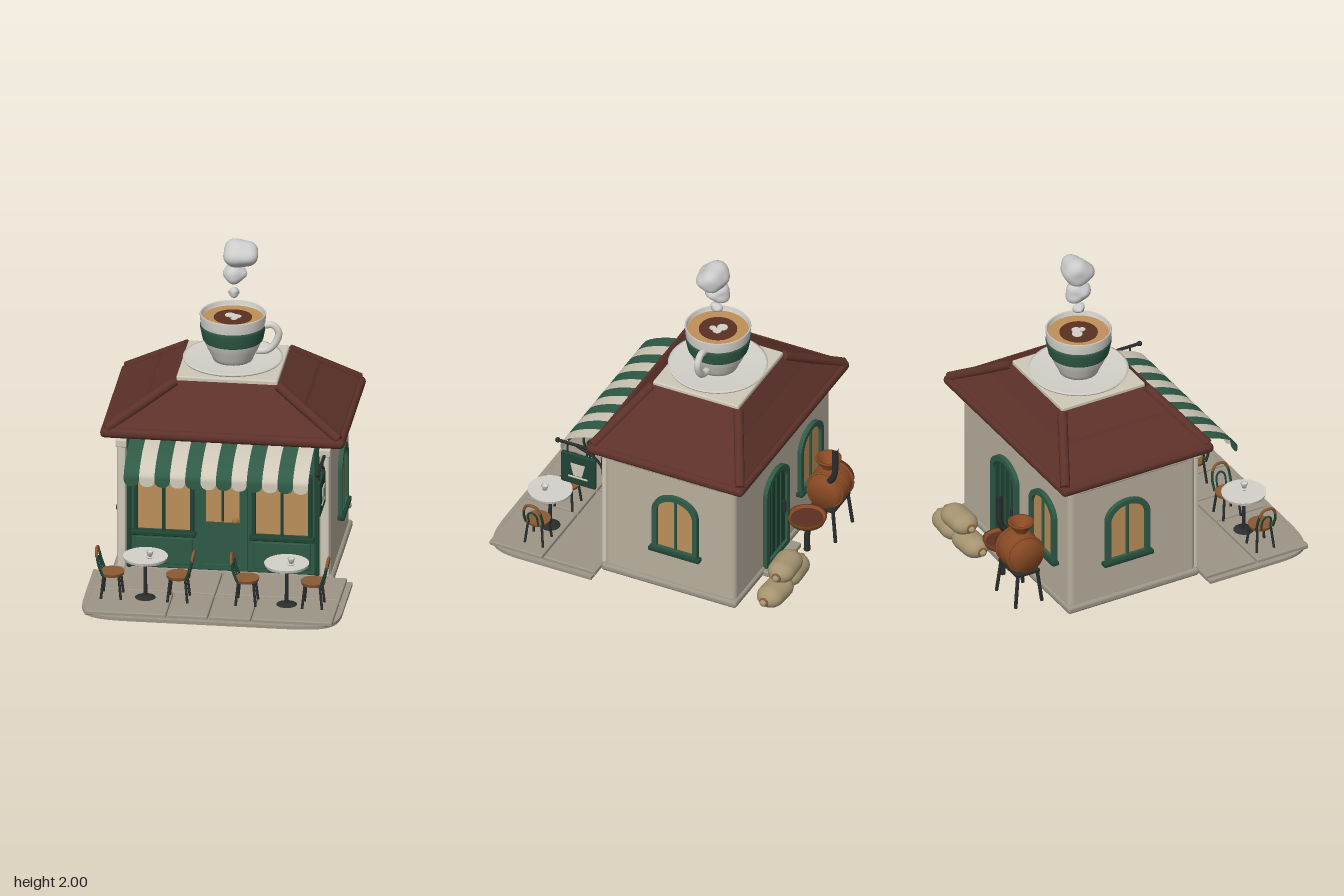
import * as THREE from 'three';
import { RoundedBoxGeometry } from 'three/addons/geometries/RoundedBoxGeometry.js';
import { mergeVertices } from 'three/addons/utils/BufferGeometryUtils.js';

const V = (x, y, z) => new THREE.Vector3(x, y, z);
const paint = (color, side = THREE.FrontSide) => new THREE.MeshStandardMaterial({ color, side });
const M = {
  green: paint(0x2f5a46), dark: paint(0x1f4434), wall: paint(0xb8ae9c), cream: paint(0xcfc8b8),
  white: paint(0xd4d1ca), roof: paint(0x5c3129), glass: paint(0xba8f5a), wood: paint(0x8a5a35),
  copper: paint(0x8a4a24), sack: paint(0xa59470), stone: paint(0x9c9587), black: paint(0x2b2d2c),
  coffee: paint(0x5a3020), crema: paint(0xc09058), grey: paint(0xcccccc), brass: paint(0x9a7440),
  awnGreen: paint(0x2f5a46, THREE.DoubleSide), awnCream: paint(0xcfc8b8, THREE.DoubleSide),
};

function add(parent, name, geo, mat, x = 0, y = 0, z = 0) {
  const m = new THREE.Mesh(geo, mat);
  m.name = name;
  m.position.set(x, y, z);
  parent.add(m);
  return m;
}
function sub(parent, name, x = 0, y = 0, z = 0, ry = 0) {
  const g = new THREE.Group();
  g.name = name;
  g.position.set(x, y, z);
  g.rotation.y = ry;
  parent.add(g);
  return g;
}
const box = (p, n, m, w, h, d, x, y, z, r = 0.008) => add(p, n, new RoundedBoxGeometry(w, h, d, 2, r), m, x, y, z);
const cyl = (p, n, m, rt, rb, h, x, y, z, s = 24) => add(p, n, new THREE.CylinderGeometry(rt, rb, h, s), m, x, y, z);
const lathe = (p, n, m, pts, x = 0, y = 0, z = 0, s = 40) =>
  add(p, n, new THREE.LatheGeometry(pts.map(a => new THREE.Vector2(...a)), s), m, x, y, z);
const tube = (p, n, m, pts, r, seg = 20) =>
  add(p, n, new THREE.TubeGeometry(new THREE.CatmullRomCurve3(pts), seg, r, 8), m);
function rod(p, n, m, a, b, r, s = 8) {
  const o = cyl(p, n, m, r, r, a.distanceTo(b), 0, 0, 0, s);
  o.position.copy(a).add(b).multiplyScalar(0.5);
  o.quaternion.setFromUnitVectors(V(0, 1, 0), b.clone().sub(a).normalize());
  return o;
}

// Arched opening standing on y = y0, with an elliptical head
function arch(w, h, rise, y0 = 0, T = THREE.Shape) {
  const s = new T();
  s.moveTo(-w / 2, y0);
  s.lineTo(w / 2, y0);
  s.lineTo(w / 2, h - rise);
  s.absellipse(0, h - rise, w / 2, rise, 0, Math.PI, false);
  s.lineTo(-w / 2, y0);
  return s;
}
const slab = (s, d) => new THREE.ExtrudeGeometry(s, { depth: d, bevelEnabled: false, curveSegments: 16 });

function archFrame(p, w, h, rise, t, d) {
  const s = arch(w, h, rise);
  s.holes.push(arch(w - 2 * t, h - t, rise - t * 0.6, t, THREE.Path));
  add(p, 'frame', slab(s, d), M.green);
}
function archWindow(p, name, x, y, z, ry) {
  const g = sub(p, name, x, y, z, ry);
  archFrame(g, 0.3, 0.42, 0.12, 0.032, 0.03);
  add(g, 'pane', slab(arch(0.26, 0.4, 0.1), 0.01), M.glass);
  box(g, 'mullion', M.green, 0.016, 0.38, 0.02, 0, 0.2, 0.012, 0.004);
  box(g, 'sill', M.dark, 0.34, 0.028, 0.05, 0, 0.005, 0.02);
}

// Rectangular rings [halfX, halfZ, y] joined by flat faces
function hippedLoft(rings) {
  const pos = [], c = rings.map(([x, z, y]) => [[x, y, z], [x, y, -z], [-x, y, -z], [-x, y, z]]);
  for (let i = 0; i + 1 < c.length; i++) for (let k = 0; k < 4; k++) {
    const a = c[i][k], b = c[i][(k + 1) % 4], e = c[i + 1][(k + 1) % 4], f = c[i + 1][k];
    pos.push(...a, ...b, ...e, ...a, ...e, ...f);
  }
  const g = new THREE.BufferGeometry();
  g.setAttribute('position', new THREE.Float32BufferAttribute(pos, 3));
  g.computeVertexNormals();
  return g;
}

// Lumpy ball for steam
function puff(r, seed) {
  let g = new THREE.IcosahedronGeometry(r, 5);
  g.deleteAttribute('uv');
  g.deleteAttribute('normal');
  g = mergeVertices(g, 1e-5);
  const p = g.attributes.position, v = V(0, 0, 0);
  for (let i = 0; i < p.count; i++) {
    v.fromBufferAttribute(p, i);
    const n = v.clone().normalize();
    v.multiplyScalar(1 + 0.12 * Math.sin(3 * n.x + seed) + 0.1 * Math.sin(4 * n.y + 2 * seed) * Math.cos(3 * n.z + seed));
    p.setXYZ(i, v.x, v.y, v.z);
  }
  g.computeVertexNormals();
  return g;
}

// Awning stripe: a plane bent along a profile, with a scalloped hem
function awningStripe(w) {
  const curve = new THREE.CatmullRomCurve3([V(0, 0.89, 0.22), V(0, 0.865, 0.36), V(0, 0.815, 0.48), V(0, 0.77, 0.53), V(0, 0.735, 0.535)]);
  const g = new THREE.PlaneGeometry(w, 1, 10, 12), p = g.attributes.position;
  for (let i = 0; i < p.count; i++) {
    const t = 0.5 - p.getY(i), q = curve.getPoint(t), u = p.getX(i) / (w / 2);
    const dip = t > 0.99 ? 0.036 * Math.sqrt(Math.max(0, 1 - u * u)) : 0;
    p.setXYZ(i, p.getX(i), q.y - dip, q.z);
  }
  g.computeVertexNormals();
  return g;
}

// Chair with its back toward local +x
function chair(p, x, z, ry) {
  const g = sub(p, 'chair', x, 0.04, z, ry);
  cyl(g, 'seat', M.wood, 0.076, 0.07, 0.02, 0, 0.152, 0);
  for (const a of [1, -1]) for (const b of [1, -1])
    rod(g, 'chairLeg', M.black, V(a * 0.045, 0.15, b * 0.045), V(a * 0.06, 0, b * 0.06), 0.008);
  for (const s of [1, -1])
    tube(g, 'backPost', M.dark, [V(0.05, 0.15, s * 0.058), V(0.075, 0.22, s * 0.06), V(0.085, 0.27, s * 0.052)], 0.008);
  tube(g, 'backHoop', M.wood, [V(0.085, 0.26, 0.054), V(0.09, 0.298, 0.034), V(0.092, 0.308, 0), V(0.09, 0.298, -0.034), V(0.085, 0.26, -0.054)], 0.009);
  tube(g, 'backInner', M.dark, [V(0.062, 0.15, 0.03), V(0.08, 0.23, 0.026), V(0.085, 0.25, 0), V(0.08, 0.23, -0.026), V(0.062, 0.15, -0.03)], 0.006);
}

function table(p, x, z) {
  const g = sub(p, 'table', x, 0.04, z);
  cyl(g, 'tableTop', M.white, 0.135, 0.13, 0.018, 0, 0.26, 0, 32);
  cyl(g, 'tableColumn', M.black, 0.01, 0.012, 0.25, 0, 0.13, 0, 12);
  cyl(g, 'tableFoot', M.black, 0.03, 0.065, 0.014, 0, 0.007, 0);
  cyl(g, 'smallSaucer', M.white, 0.033, 0.025, 0.006, 0.03, 0.273, 0.02);
  lathe(g, 'smallCup', M.white, [[0, 0], [0.013, 0], [0.022, 0.03], [0.018, 0.03], [0.016, 0.022], [0, 0.022]], 0.03, 0.276, 0.02, 20);
}

export function createModel() {
  const root = new THREE.Group();
  root.name = 'cafe';
  const CZ = -0.235;

  // Patio
  const patio = sub(root, 'patio'), ps = new THREE.Shape();
  ps.moveTo(-0.78, -0.22);
  ps.lineTo(0.78, -0.22);
  ps.lineTo(0.78, -0.72);
  ps.bezierCurveTo(0.77, -0.9, 0.72, -0.95, 0.45, -0.95);
  ps.lineTo(-0.45, -0.95);
  ps.bezierCurveTo(-0.72, -0.95, -0.77, -0.9, -0.78, -0.72);
  add(patio, 'patioBase', slab(ps, 0.02), M.stone).rotation.x = -Math.PI / 2;
  for (const [z0, z1, xs] of [[0.21, 0.555, [-0.75, 0, 0.75]], [0.565, 0.915, [-0.75, -0.25, 0, 0.26, 0.75]]])
    for (let i = 0; i + 1 < xs.length; i++)
      box(patio, 'paver', M.stone, xs[i + 1] - xs[i] - 0.01, 0.03, z1 - z0, (xs[i] + xs[i + 1]) / 2, 0.026, (z0 + z1) / 2);

  // Building shell
  box(root, 'foundation', M.stone, 1.33, 0.05, 0.9, 0, 0.025, CZ, 0.02);
  box(root, 'walls', M.wall, 1.29, 0.88, 0.87, 0, 0.46, CZ, 0.035);
  for (const s of [1, -1]) {
    box(root, 'sideCornice', M.wall, 0.03, 0.06, 0.74, s * 0.645, 0.86, CZ, 0.012);
    box(root, 'cornerPilaster', M.cream, 0.05, 0.82, 0.03, s * 0.612, 0.45, 0.205);
    box(root, 'pilasterCapital', M.cream, 0.07, 0.05, 0.05, s * 0.612, 0.845, 0.21);
    archWindow(root, 'sideWindow', s * 0.643, 0.28, -0.28, s * Math.PI / 2);
  }

  // Storefront
  const shop = sub(root, 'storefront');
  box(shop, 'storefrontPanel', M.green, 1.15, 0.84, 0.04, 0, 0.47, 0.2);
  for (const s of [1, -1]) {
    const w = sub(shop, 'shopWindow', s * 0.355, 0, 0.22);
    box(w, 'pane', M.glass, 0.32, 0.37, 0.008, 0, 0.49, 0.002, 0.002);
    for (const x of [-0.17, 0.17, 0]) box(w, 'mullion', M.dark, x ? 0.026 : 0.018, 0.4, 0.026, x, 0.49, 0.008);
    box(w, 'windowHead', M.dark, 0.37, 0.026, 0.026, 0, 0.685, 0.008);
    box(w, 'windowSill', M.dark, 0.39, 0.028, 0.06, 0, 0.285, 0.015);
    box(w, 'lowerPanel', M.green, 0.34, 0.17, 0.014, 0, 0.165, 0.003, 0.005);
    box(shop, 'storefrontPost', M.dark, 0.03, 0.84, 0.03, s * 0.565, 0.47, 0.22);
  }
  const door = sub(shop, 'frontDoor', 0, 0.07, 0.22);
  archFrame(door, 0.3, 0.66, 0.12, 0.026, 0.02);
  add(door, 'doorLeaf', slab(arch(0.27, 0.645, 0.11), 0.008), M.green);
  add(door, 'doorPane', slab(arch(0.2, 0.615, 0.08, 0.3), 0.012), M.glass);
  box(door, 'doorMullion', M.dark, 0.014, 0.33, 0.018, 0, 0.47, 0.01, 0.004);
  add(door, 'doorKnob', new THREE.SphereGeometry(0.02, 16, 12), M.brass, 0.078, 0.315, 0.025);

  // Awning
  const stripe = 1.11 / 12, stripeGeo = awningStripe(stripe);
  for (let i = 0; i < 12; i++)
    add(root, 'awningStripe', stripeGeo, i % 2 ? M.awnCream : M.awnGreen, -0.557 + stripe * (i + 0.5));

  // Hanging sign
  const sign = sub(root, 'hangingSign', 0.61, 0, 0);
  rod(sign, 'signArm', M.black, V(0, 0.83, 0.2), V(0, 0.83, 0.52), 0.01);
  tube(sign, 'signBrace', M.black, [V(0, 0.68, 0.21), V(0, 0.77, 0.27), V(0, 0.825, 0.4)], 0.008);
  add(sign, 'finial', new THREE.SphereGeometry(0.016, 12, 8), M.black, 0, 0.83, 0.525);
  for (const z of [0.31, 0.46]) rod(sign, 'signHook', M.black, V(0, 0.75, z), V(0, 0.83, z), 0.006);
  box(sign, 'signBoard', M.dark, 0.026, 0.22, 0.23, 0, 0.655, 0.385, 0.01);
  const icon = new THREE.Shape([[-0.028, -0.04], [0.028, -0.04], [0.048, 0.045], [-0.048, 0.045]].map(a => new THREE.Vector2(...a)));
  for (const s of [1, -1]) {
    add(sign, 'signCup', slab(icon, 0.006), M.cream, s * 0.012, 0.655, 0.385).rotation.y = s * Math.PI / 2;
    box(sign, 'signSaucer', M.cream, 0.008, 0.012, 0.13, s * 0.014, 0.602, 0.385, 0.003);
  }

  // Roof
  const roof = sub(root, 'roof', 0, 0, -0.24);
  box(roof, 'eave', M.roof, 1.47, 0.06, 1.04, 0, 0.92, 0, 0.028);
  add(roof, 'roofSlopes', hippedLoft([[0.72, 0.5, 0.93], [0.7, 0.49, 0.955], [0.485, 0.372, 1.085], [0.47, 0.362, 1.1], [0.3, 0.28, 1.2]]), M.roof);
  for (const x of [1, -1]) for (const z of [1, -1])
    rod(roof, 'hipRidge', M.roof, V(x * 0.7, 0.945, z * 0.49), V(x * 0.31, 1.19, z * 0.288), 0.03, 10);
  box(roof, 'cupPlinth', M.cream, 0.61, 0.04, 0.57, 0, 1.2, 0.0, 0.01);

  // Giant cup with steam
  const cup = sub(root, 'giantCup', 0, 0, -0.24);
  lathe(cup, 'saucer', M.white, [[0, 1.215], [0.16, 1.215], [0.295, 1.236], [0.3, 1.248], [0.285, 1.25], [0.15, 1.235], [0, 1.235]]);
  lathe(cup, 'cupBody', M.white, [[0, 1.235], [0.118, 1.235], [0.128, 1.26], [0.153, 1.31], [0.177, 1.37], [0.191, 1.44], [0.199, 1.525], [0.194, 1.532], [0.186, 1.525], [0.178, 1.45], [0, 1.45]]);
  lathe(cup, 'cupBand', M.green, [[0.177, 1.362], [0.182, 1.37], [0.196, 1.44], [0.197, 1.458], [0.191, 1.462]]);
  cyl(cup, 'crema', M.crema, 0.184, 0.18, 0.02, 0, 1.49, 0, 40);
  cyl(cup, 'coffee', M.coffee, 0.115, 0.115, 0.008, 0, 1.499, 0, 36);
  for (const [x, z, r] of [[-0.02, -0.02, 0.032], [0.022, -0.005, 0.028], [0.01, 0.03, 0.02]])
    cyl(cup, 'foam', M.white, r, r, 0.006, x, 1.504, z, 16);
  tube(cup, 'cupHandle', M.white, [V(0.18, 1.455, 0), V(0.24, 1.462, 0), V(0.275, 1.415, 0), V(0.25, 1.34, 0), V(0.205, 1.3, 0), V(0.14, 1.29, 0)], 0.022, 32);
  for (const [r, x, y, z, sy, k] of [[0.036, 0.005, 1.665, 0.005, 0.8, 1], [0.075, 0.015, 1.785, 0.0, 0.85, 2.2], [0.097, 0.052, 1.915, 0.01, 0.92, 4.1]])
    add(cup, 'steam', puff(r, k), M.grey, x, y, z).scale.y = sy;

  // Tables and chairs
  for (const [x, a, b] of [[-0.41, -0.61, -0.21], [0.44, 0.2, 0.6]]) {
    table(root, x, 0.66);
    chair(root, a, 0.66, Math.PI);
    chair(root, b, 0.66, 0);
  }

  // Back door and window
  archWindow(root, 'backWindow', -0.35, 0.28, -0.668, Math.PI);
  const back = sub(root, 'backDoor', 0.11, 0.04, -0.668, Math.PI);
  archFrame(back, 0.31, 0.64, 0.12, 0.034, 0.03);
  add(back, 'doorLeaf', slab(arch(0.27, 0.61, 0.1), 0.012), M.dark);
  for (const x of [-0.06, 0, 0.06]) box(back, 'boardJoint', M.green, 0.008, 0.54, 0.008, x, 0.3, 0.012, 0.002);
  box(back, 'doorHandle', M.black, 0.02, 0.09, 0.025, 0.095, 0.3, 0.02);
  box(root, 'backStep', M.stone, 0.36, 0.035, 0.1, 0.11, 0.018, -0.71);

  // Coffee roaster
  const ro = sub(root, 'roaster', -0.32, 0, -0.83);
  lathe(ro, 'drum', M.copper, [[0, -0.12], [0.1, -0.12], [0.118, -0.05], [0.122, 0], [0.118, 0.05], [0.1, 0.12], [0, 0.12]], 0, 0.33, 0).rotation.z = Math.PI / 2;
  for (const x of [-0.07, 0, 0.07]) add(ro, 'drumHoop', new THREE.TorusGeometry(0.116, 0.008, 8, 36), M.copper, x, 0.33, 0).rotation.y = Math.PI / 2;
  lathe(ro, 'hopper', M.copper, [[0.035, 0.42], [0.035, 0.45], [0.078, 0.51], [0.078, 0.522], [0.066, 0.522], [0.02, 0.46], [0, 0.46]], 0, 0, 0.012);
  tube(ro, 'chimney', M.black, [V(0.09, 0.41, -0.03), V(0.098, 0.45, -0.06), V(0.1, 0.5, -0.078), V(0.1, 0.58, -0.08), V(0.1, 0.68, -0.08)], 0.02);
  box(ro, 'roasterFrame', M.black, 0.23, 0.025, 0.16, 0, 0.215, 0);
  for (const x of [1, -1]) for (const z of [1, -1])
    rod(ro, 'roasterLeg', M.black, V(x * 0.1, 0.22, z * 0.065), V(x * 0.115, 0, z * 0.09), 0.011);
  lathe(root, 'coolingTray', M.copper, [[0, 0.215], [0.105, 0.215], [0.12, 0.25], [0.108, 0.25], [0.098, 0.23], [0, 0.23]], -0.065, 0, -0.8);
  cyl(root, 'coolingBeans', M.coffee, 0.098, 0.098, 0.01, -0.065, 0.232, -0.8);
  cyl(root, 'trayPost', M.black, 0.014, 0.02, 0.22, -0.065, 0.11, -0.8, 12);

  // Bean sacks
  for (const [x, y, z, ry] of [[0.235, 0.07, -0.85, 0.05], [0.475, 0.07, -0.855, -0.08], [0.35, 0.175, -0.86, 0.04]]) {
    const s = sub(root, 'beanSack', x, y, z, ry);
    const body = add(s, 'sackBody', new THREE.CapsuleGeometry(0.085, 0.1, 8, 20), M.sack);
    body.rotation.z = Math.PI / 2;
    body.scale.x = 0.8;
    for (const e of [1, -1]) {
      add(s, 'sackTie', new THREE.TorusGeometry(0.022, 0.008, 8, 16), M.wood, e * 0.132, 0, 0).rotation.y = Math.PI / 2;
      add(s, 'sackTuft', new THREE.SphereGeometry(0.022, 12, 8), M.sack, e * 0.14, 0, 0);
    }
  }
  return root;
}
